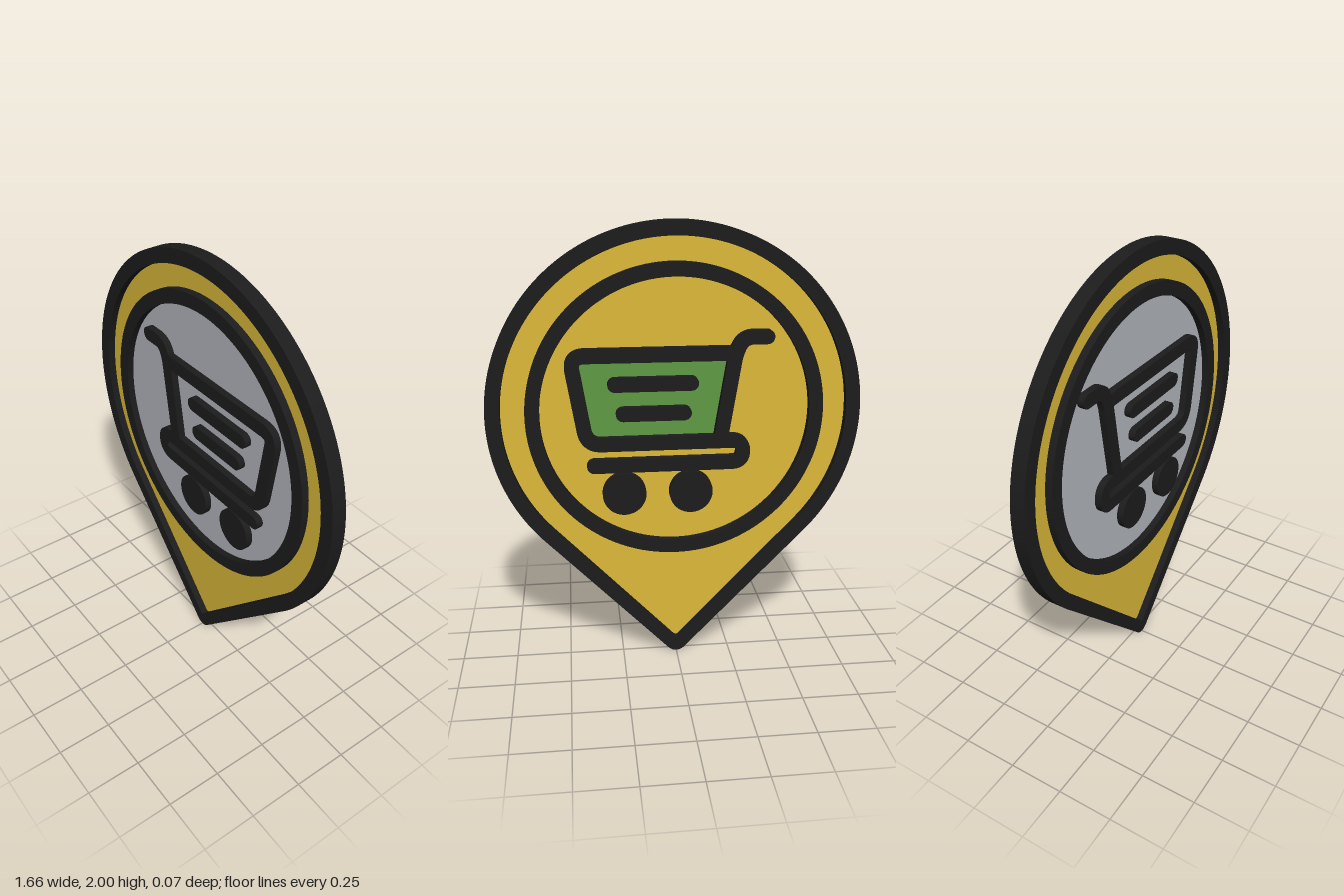
import * as THREE from 'three';
import { toCreasedNormals } from 'three/addons/utils/BufferGeometryUtils.js';

const DEPTH = 0.067, HALF = 0.032, CY = 1.17;
const material = (color) => new THREE.MeshStandardMaterial({ color, side: THREE.DoubleSide });
const V = (x, y) => new THREE.Vector2(x, y);

// Map-pin outline: a large arc running into two straight sides and a rounded tip
function pinOutline(Type, r, tipX, tipY, controlY) {
  const a = THREE.MathUtils.degToRad(43);
  const s = new Type();
  s.absarc(0, CY, r, -a, Math.PI + a, false);
  s.lineTo(-tipX, tipY);
  s.quadraticCurveTo(0, controlY, tipX, tipY);
  s.closePath();
  return s;
}

function disc(Type, x, y, r) {
  const s = new Type();
  s.absarc(x, y, r, 0, Math.PI * 2, false);
  return s;
}

// Polyline with every inner corner rounded; each corner is [x, y, cut length]
function roundedPath(corners) {
  const pts = [V(corners[0][0], corners[0][1])];
  for (let i = 1; i < corners.length - 1; i++) {
    const [x, y, cut] = corners[i];
    const p = V(x, y);
    const toward = (c) => V(c[0], c[1]).sub(p).setLength(cut).add(p);
    const curve = new THREE.QuadraticBezierCurve(toward(corners[i - 1]), p, toward(corners[i + 1]));
    pts.push(...curve.getPoints(10));
  }
  const end = corners[corners.length - 1];
  pts.push(V(end[0], end[1]));
  return pts;
}

// Outline of a constant-width stroke with round caps around a centre line
function strokeShape(pts) {
  const n = pts.length, left = [], right = [];
  const heading = (i) => pts[Math.min(i + 1, n - 1)].clone().sub(pts[Math.max(i - 1, 0)]).angle();
  const offset = (p, a) => V(p.x + HALF * Math.cos(a), p.y + HALF * Math.sin(a));
  pts.forEach((p, i) => {
    left.push(offset(p, heading(i) + Math.PI / 2));
    right.unshift(offset(p, heading(i) - Math.PI / 2));
  });
  const cap = (p, from) => {
    const out = [];
    for (let k = 1; k < 12; k++) out.push(offset(p, from - (Math.PI * k) / 12));
    return out;
  };
  return new THREE.Shape([
    ...left, ...cap(pts[n - 1], heading(n - 1) + Math.PI / 2),
    ...right, ...cap(pts[0], heading(0) - Math.PI / 2),
  ]);
}

export function createModel() {
  const model = new THREE.Group();
  model.name = 'shopMapPin';
  const black = material(0x1c1c1c), yellow = material(0xdcb93a);
  const silver = material(0xb4b7be), green = material(0x5f9a45);

  const addSolid = (name, shape, parent = model) => {
    const geo = new THREE.ExtrudeGeometry(shape, { depth: DEPTH, bevelEnabled: false, curveSegments: 64 });
    geo.translate(0, 0, -DEPTH / 2);
    const mesh = new THREE.Mesh(toCreasedNormals(geo, 0.6), black);
    mesh.name = name;
    parent.add(mesh);
  };
  const addSheet = (name, shape, mat, z) => {
    const mesh = new THREE.Mesh(new THREE.ShapeGeometry(shape, 64), mat);
    mesh.position.z = z;
    mesh.name = name;
    model.add(mesh);
  };

  // Thin coloured sheets set in the middle of the black frames
  addSheet('pinPlate', pinOutline(THREE.Shape, 0.78, 0.02, 0.06, 0.04), yellow, 0);
  addSheet('windowDisc', disc(THREE.Shape, 0, CY, 0.62), silver, 0.002);
  addSheet('basketFill', new THREE.Shape([
    V(-0.255, 1.434), V(0.44, 1.434), V(0.455, 1.38), V(0.4, 1.06), V(0.37, 1.037), V(-0.2, 1.037),
  ]), green, -0.002);

  // Outer rim and round window ring
  const rim = pinOutline(THREE.Shape, 0.83, 0.05, 0.03, -0.03);
  rim.holes.push(pinOutline(THREE.Path, 0.765, 0.015, 0.078, 0.06));
  addSolid('outerRim', rim);
  const ring = disc(THREE.Shape, 0, CY, 0.66);
  ring.holes.push(disc(THREE.Path, 0, CY, 0.597));
  addSolid('windowRing', ring);

  // Shopping cart
  const cart = new THREE.Group();
  cart.name = 'cart';
  model.add(cart);
  const strokes = {
    handleAndPost: [[-0.4, 1.503], [-0.295, 1.503, 0.045], [-0.262, 1.43, 0.03], [-0.2, 1.05]],
    basketAndRail: [[-0.25, 1.434], [0.46, 1.434, 0.065], [0.395, 1.037, 0.065],
      [-0.302, 1.037, 0.05], [-0.302, 0.937, 0.05], [0.365, 0.937]],
    upperSlat: [[-0.068, 1.305], [0.268, 1.305]],
    lowerSlat: [[-0.037, 1.172], [0.233, 1.172]],
  };
  for (const [name, corners] of Object.entries(strokes)) {
    addSolid(name, strokeShape(roundedPath(corners)), cart);
  }
  addSolid('rearWheel', disc(THREE.Shape, -0.068, 0.803, 0.098), cart);
  addSolid('frontWheel', disc(THREE.Shape, 0.233, 0.803, 0.098), cart);

  return model;
}
